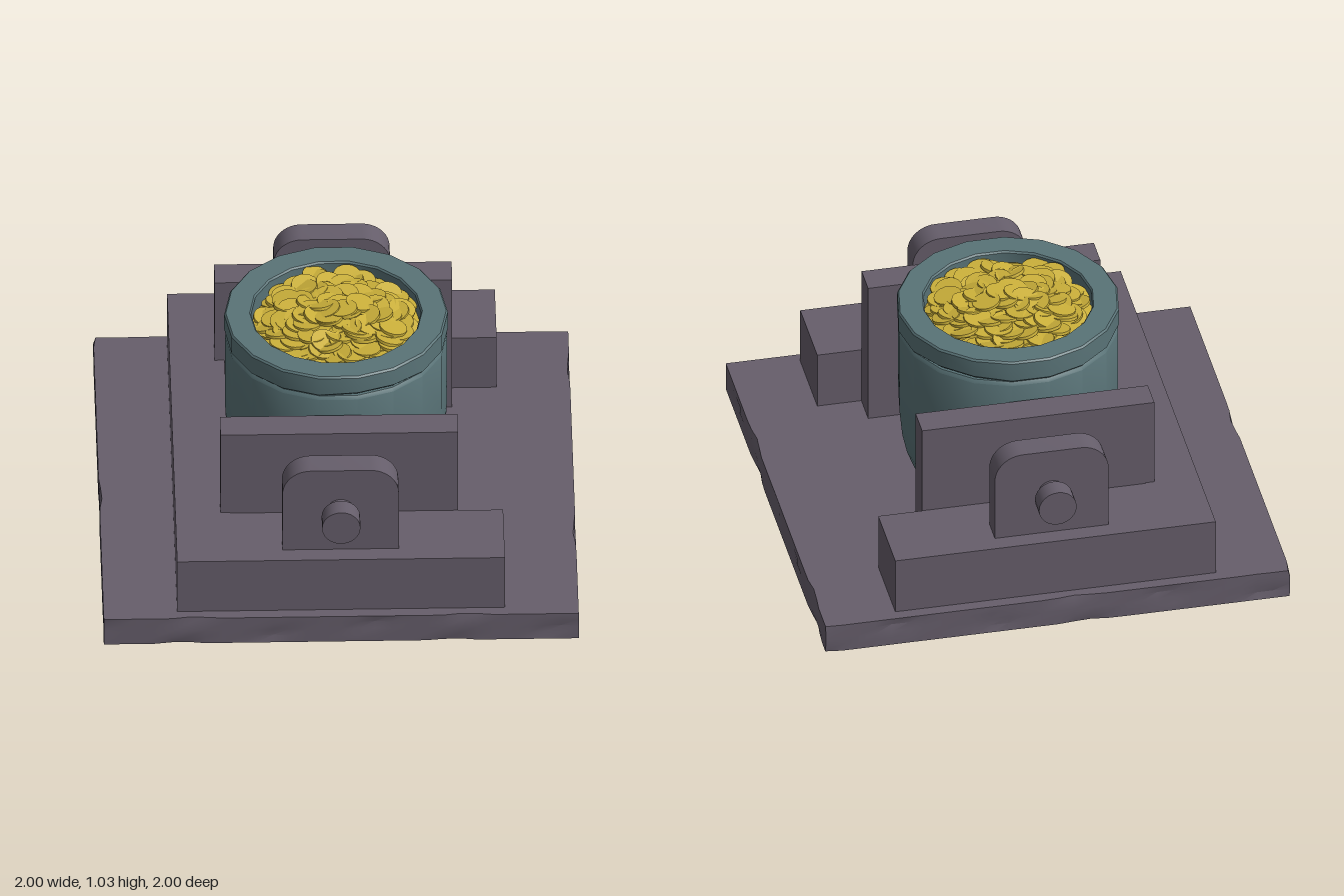
import * as THREE from 'three';
import { toCreasedNormals } from 'three/addons/utils/BufferGeometryUtils.js';

const STONE = new THREE.MeshStandardMaterial({ color: 0x665e6b });
const POT = new THREE.MeshStandardMaterial({ color: 0x597377 });
const GOLD = new THREE.MeshStandardMaterial({ color: 0xcbb03a });

function createRandom(seed) {
  return () => {
    seed = (seed * 16807) % 2147483647;
    return seed / 2147483647;
  };
}

function add(parent, name, geometry, material, x = 0, y = 0, z = 0) {
  const mesh = new THREE.Mesh(geometry, material);
  mesh.name = name;
  mesh.position.set(x, y, z);
  parent.add(mesh);
  return mesh;
}

// Closed outline extruded in depth
function extrude(shape, depth, curveSegments = 6) {
  return new THREE.ExtrudeGeometry(shape, { depth, bevelEnabled: false, curveSegments });
}

// Square slab whose rim is lightly chipped
function basePlate() {
  const g = new THREE.BoxGeometry(2, 0.13, 2, 28, 4, 28);
  const p = g.attributes.position;
  const chip = (t, y, k) =>
    0.022 * Math.max(0, Math.sin(t * 5.3 + k + y * 25) * Math.sin(t * 11 + k * 2 - y * 30) - 0.45);
  for (let i = 0; i < p.count; i++) {
    const x = p.getX(i), y = p.getY(i), z = p.getZ(i);
    if (Math.abs(x) > 0.999) p.setX(i, x * (1 - chip(z, y, x > 0 ? 1 : 2.6)));
    if (Math.abs(z) > 0.999) p.setZ(i, z * (1 - chip(x, y, z > 0 ? 0.4 : 3.7)));
  }
  return toCreasedNormals(g, 0.4);
}

// U-shaped step, open towards +x
function step() {
  const s = new THREE.Shape([
    [-0.69, -0.95], [0.69, -0.95], [0.69, -0.61], [-0.46, -0.61],
    [-0.46, 0.61], [0.69, 0.61], [0.69, 0.95], [-0.69, 0.95],
  ].map(([x, y]) => new THREE.Vector2(x, y)));
  return extrude(s, 0.26).rotateX(-Math.PI / 2);
}

// Upright plate with rounded top corners
function bracket() {
  const w = 0.245, h = 0.41, r = 0.12;
  const s = new THREE.Shape();
  s.moveTo(-w, 0);
  s.lineTo(w, 0);
  s.lineTo(w, h - r);
  s.absarc(w - r, h - r, r, 0, Math.PI / 2);
  s.lineTo(-w + r, h);
  s.absarc(-w + r, h - r, r, Math.PI / 2, Math.PI);
  s.closePath();
  return toCreasedNormals(extrude(s, 0.11).translate(0, 0, -0.055), 0.6);
}

function rod(radius, length) {
  return new THREE.CylinderGeometry(radius, radius, length, 24).rotateX(Math.PI / 2);
}

// Eighteen-sided turned surface with crisp edges
function turned(profile) {
  const points = profile.map(([r, y]) => new THREE.Vector2(r, y));
  return new THREE.LatheGeometry(points, 18, Math.PI / 18);
}

function createCauldron() {
  const cauldron = new THREE.Group();
  cauldron.name = 'cauldron';
  const body = turned([
    [0, 0.13], [0.365, 0.13], [0.405, 0.19], [0.435, 0.27], [0.455, 0.36],
    [0.466, 0.47], [0.468, 0.6], [0.468, 0.865], [0.458, 0.88], [0.36, 0.885],
  ]);
  add(cauldron, 'cauldronBody', toCreasedNormals(body, 0.6), POT);

  // Thick rim with a dented lower edge
  const rim = turned([
    [0.36, 0.88], [0.458, 0.88], [0.471, 0.893], [0.471, 0.978], [0.464, 0.986],
    [0.364, 0.986], [0.358, 0.978], [0.36, 0.88],
  ]);
  const p = rim.attributes.position;
  for (let i = 0; i < p.count; i++) {
    if (p.getY(i) < 0.9 && Math.hypot(p.getX(i), p.getZ(i)) > 0.4) {
      const a = Math.atan2(p.getX(i), p.getZ(i));
      p.setY(i, p.getY(i) + 0.012 * Math.max(0, Math.sin(a * 3 + 0.6)));
    }
  }
  add(cauldron, 'cauldronRim', toCreasedNormals(rim, 0.6), POT);
  return cauldron;
}

function createCoins() {
  const coins = new THREE.Group();
  coins.name = 'coins';
  const height = (r) => 0.925 + 0.07 * (1 - (r / 0.36) ** 2);

  // Filling beneath the loose coins
  const bed = turned([[0.36, 0.9], [0.25, 0.935], [0.12, 0.965], [0, 0.975]]);
  add(coins, 'coinBed', bed, GOLD);

  const coin = new THREE.CylinderGeometry(0.06, 0.06, 0.013, 18);
  const random = createRandom(77);
  const count = 130;
  for (let i = 0; i < count; i++) {
    const r = 0.305 * Math.sqrt((i + 0.5) / count);
    const a = i * 2.39996 + random() * 0.3;
    const y = height(r) - 0.012 + random() * 0.025;
    const mesh = add(coins, 'coin', coin, GOLD, r * Math.sin(a), y, r * Math.cos(a));
    mesh.rotation.set((random() - 0.5) * 0.55, 0, (random() - 0.5) * 0.55);
  }
  // A few coins crowning the heap
  for (const [x, y, z, tilt] of [[0.03, 1.016, 0.02, 0.12], [0.1, 1.01, -0.03, -0.2], [-0.03, 1.005, 0.06, 0.15]]) {
    add(coins, 'topCoin', coin, GOLD, x, y, z).rotation.z = tilt;
  }
  return coins;
}

export function createModel() {
  const model = new THREE.Group();
  model.name = 'mountedCauldron';

  add(model, 'basePlate', basePlate(), STONE, 0, 0.065, 0);
  add(model, 'step', step(), STONE, 0, 0.13, 0);

  // Matching supports at front and back
  for (const [side, s] of [['front', 1], ['back', -1]]) {
    const support = new THREE.Group();
    support.name = side + 'Support';
    add(support, 'slab', new THREE.BoxGeometry(1, 0.665, 0.13), STONE, 0, 0.4625, s * 0.54);
    add(support, 'bracket', bracket(), STONE, 0, 0.39, s * 0.82);
    add(support, 'axle', rod(0.06, 0.5), STONE, 0, 0.59, s * 0.69);
    add(support, 'axleCollar', rod(0.07, 0.05), STONE, 0, 0.59, s * 0.465);
    add(support, 'axleCap', rod(0.081, 0.085), STONE, 0, 0.59, s * 0.9555);
    model.add(support);
  }

  model.add(createCauldron(), createCoins());
  return model;
}
